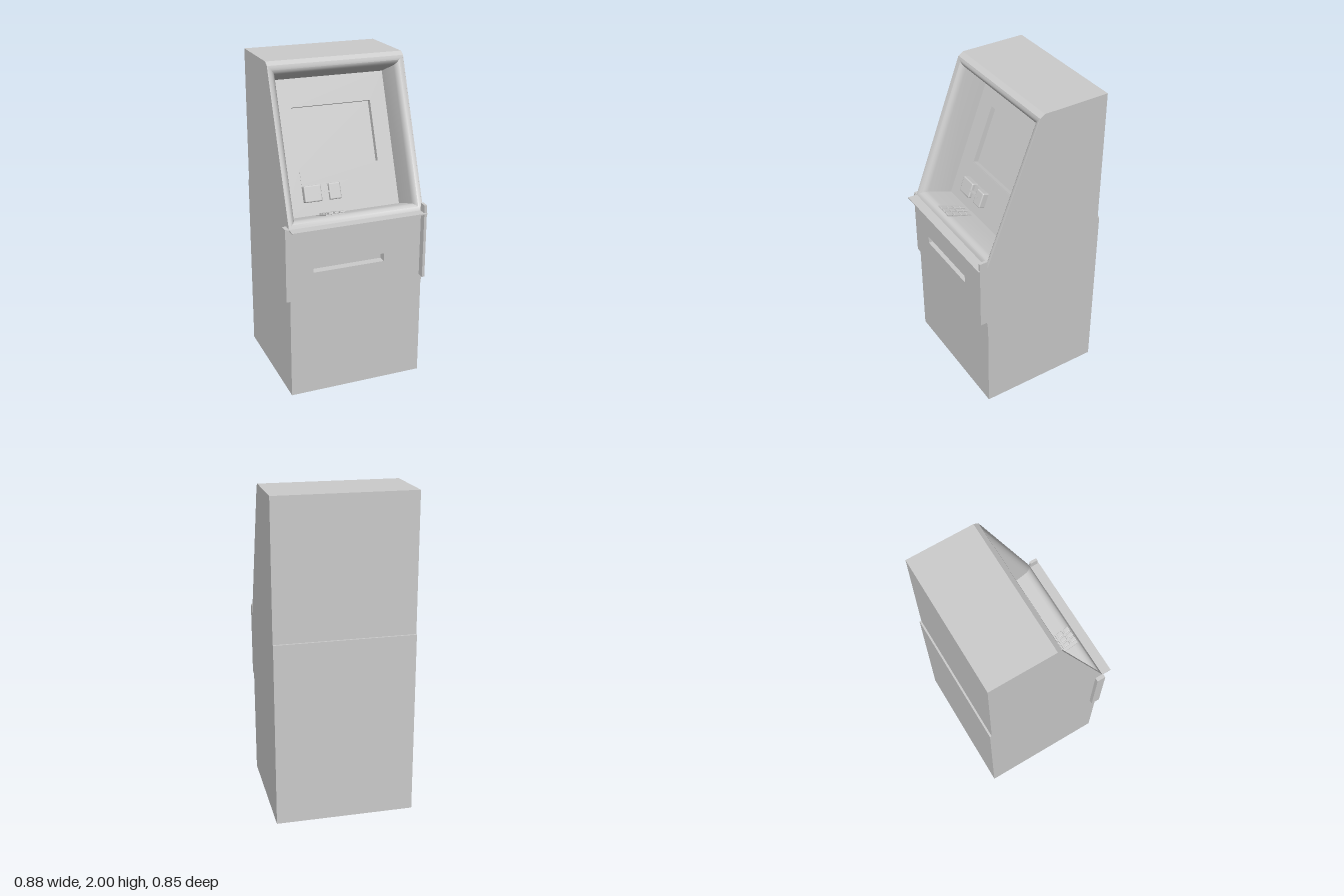
import * as THREE from 'three';
import { toCreasedNormals } from 'three/addons/utils/BufferGeometryUtils.js';
import { RoundedBoxGeometry } from 'three/addons/geometries/RoundedBoxGeometry.js';

const grey = new THREE.MeshStandardMaterial({ color: 0xcccccc });
const L = -0.42, R = 0.437, MID = (L + R) / 2, W = R - L;

function add(parent, name, geometry) {
  const mesh = new THREE.Mesh(geometry, grey);
  mesh.name = name;
  parent.add(mesh);
  return mesh;
}

// Box given by its limits along each axis
function block(parent, name, x0, x1, y0, y1, z0, z1, radius = 0) {
  const size = [x1 - x0, y1 - y0, z1 - z0];
  const geo = radius ? new RoundedBoxGeometry(...size, 2, radius) : new THREE.BoxGeometry(...size);
  const mesh = add(parent, name, geo);
  mesh.position.set((x0 + x1) / 2, (y0 + y1) / 2, (z0 + z1) / 2);
  return mesh;
}

const rect = (Type, x0, x1, y0, y1) => new Type(
  [[x0, y0], [x1, y0], [x1, y1], [x0, y1]].map(p => new THREE.Vector2(...p)));

// Rectangular plate with a rectangular opening
function framedPlate(parent, name, outer, hole, z0, z1) {
  const shape = rect(THREE.Shape, ...outer);
  shape.holes.push(rect(THREE.Path, ...hole));
  const mesh = add(parent, name, new THREE.ExtrudeGeometry(shape, { depth: z1 - z0, bevelEnabled: false }));
  mesh.position.z = z0;
  return mesh;
}

// Side profile given as [z, y] points, extruded from x0 to x1
function sideProfile(parent, name, points, x0, x1) {
  const shape = new THREE.Shape(points.map(([z, y]) => new THREE.Vector2(-z, y)));
  const geo = new THREE.ExtrudeGeometry(shape, { depth: x1 - x0, bevelEnabled: false });
  geo.rotateY(Math.PI / 2).translate(x0, 0, 0);
  // after the turn, shape x runs along -z, so -z becomes z again
  return add(parent, name, geo);
}

// Rounded rim and inner walls: rectangles joined at [inset, depth] steps
function recessGeometry(halfW, height, steps) {
  const loops = steps.map(([i, d]) => [
    [-halfW + i, i, -d], [halfW - i, i, -d], [halfW - i, height - i, -d], [-halfW + i, height - i, -d]]);
  const pos = [];
  for (let s = 0; s < loops.length - 1; s++) {
    for (let k = 0; k < 4; k++) {
      const n = (k + 1) % 4;
      const a = loops[s][k], b = loops[s][n], c = loops[s + 1][n], d = loops[s + 1][k];
      pos.push(...a, ...b, ...c, ...a, ...c, ...d);
    }
  }
  const geo = new THREE.BufferGeometry();
  geo.setAttribute('position', new THREE.Float32BufferAttribute(pos, 3));
  return toCreasedNormals(geo, 0.7);
}

export function createModel() {
  const model = new THREE.Group();
  model.name = 'kiosk';

  // Lower cabinet, with a slot opening through its front layer
  const slot = [-0.275, 0.18, 0.81, 0.86];
  block(model, 'lowerCabinet', L, R, 0, 1.05, -0.427, 0.32);
  block(model, 'cabinetBack', L, R, 1.05, 1.15, -0.427, -0.41);
  framedPlate(model, 'cabinetFront', [L, R, 0, 1.1], slot, 0.32, 0.365);

  // Front panel with its side returns and top lip
  framedPlate(model, 'slotPanel', [-0.445, R, 0.645, 1.1], slot, 0.365, 0.371);
  block(model, 'panelLeftReturn', -0.445, L, 0.645, 1.105, 0.315, 0.366);
  block(model, 'panelRightPlate', 0.42, R, 0.68, 1.15, 0.365, 0.415);
  block(model, 'panelLip', L, R, 1.094, 1.101, 0.36, 0.425);

  // Upper housing: two side walls and a thin back and roof
  const side = [[-0.415, 1.04], [-0.415, 2], [0, 2], [0.03, 1.98], [0.365, 1.1], [0.365, 1.04]];
  sideProfile(model, 'rightWall', side, L, L + 0.004);
  sideProfile(model, 'leftWall', side, R - 0.004, R);
  const roof = [[-0.415, 1.04], [-0.415, 2], [0, 2], [0.03, 1.98],
    [0.026, 1.977], [-0.001, 1.996], [-0.411, 1.996], [-0.411, 1.04]];
  sideProfile(model, 'backAndRoof', roof, L, R);

  // Sloping console: local y runs up the slope, local z points out of it
  const consoleGroup = new THREE.Group();
  consoleGroup.name = 'console';
  consoleGroup.position.set(MID, 1.1, 0.365);
  consoleGroup.rotation.x = -Math.atan2(0.335, 0.88);
  model.add(consoleGroup);
  const H = Math.hypot(0.335, 0.88), D = 0.212, half = W / 2;
  const rim = [[0, 0], [0.013, 0.001], [0.026, 0.006], [0.038, 0.015], [0.046, 0.028], [0.05, 0.045], [0.056, D]];
  add(consoleGroup, 'rimAndRecess', recessGeometry(half, H, rim));

  // Recessed screen in the console panel
  const screen = [-0.248, 0.267, 0.337, 0.712];
  framedPlate(consoleGroup, 'consolePanel', [-half + 0.05, half - 0.05, 0.05, H - 0.05], screen, -D - 0.035, -D);
  block(consoleGroup, 'screen', -0.26, 0.28, 0.325, 0.725, -D - 0.045, -D - 0.033);
  block(consoleGroup, 'panelStrip', -0.248, 0.267, 0.247, 0.332, -D - 0.01, -D + 0.003);

  // Card reader: two rounded blocks joined by a lower bridge and a bar
  block(consoleGroup, 'readerBlock', -0.248, -0.138, 0.137, 0.238, -D - 0.01, -D + 0.04, 0.008);
  block(consoleGroup, 'readerBlock', -0.088, -0.014, 0.137, 0.238, -D - 0.01, -D + 0.04, 0.008);
  block(consoleGroup, 'readerBridge', -0.14, -0.086, 0.14, 0.235, -D - 0.01, -D + 0.018);
  block(consoleGroup, 'readerBar', -0.19, -0.058, 0.184, 0.192, -D, -D + 0.043);

  // Keypad on the shelf of the console
  block(consoleGroup, 'keypadBase', -0.19, -0.07, 0.05, 0.057, -0.182, -0.01);
  for (const [x, w] of [[-0.158, 0.025], [-0.122, 0.025], [-0.085, 0.03]]) {
    for (const [z, d] of [[-0.16, 0.032], [-0.121, 0.036], [-0.073, 0.038], [-0.024, 0.038]]) {
      block(consoleGroup, 'key', x - w / 2, x + w / 2, 0.055, 0.066, z - d / 2, z + d / 2, 0.003);
    }
  }
  return model;
}
